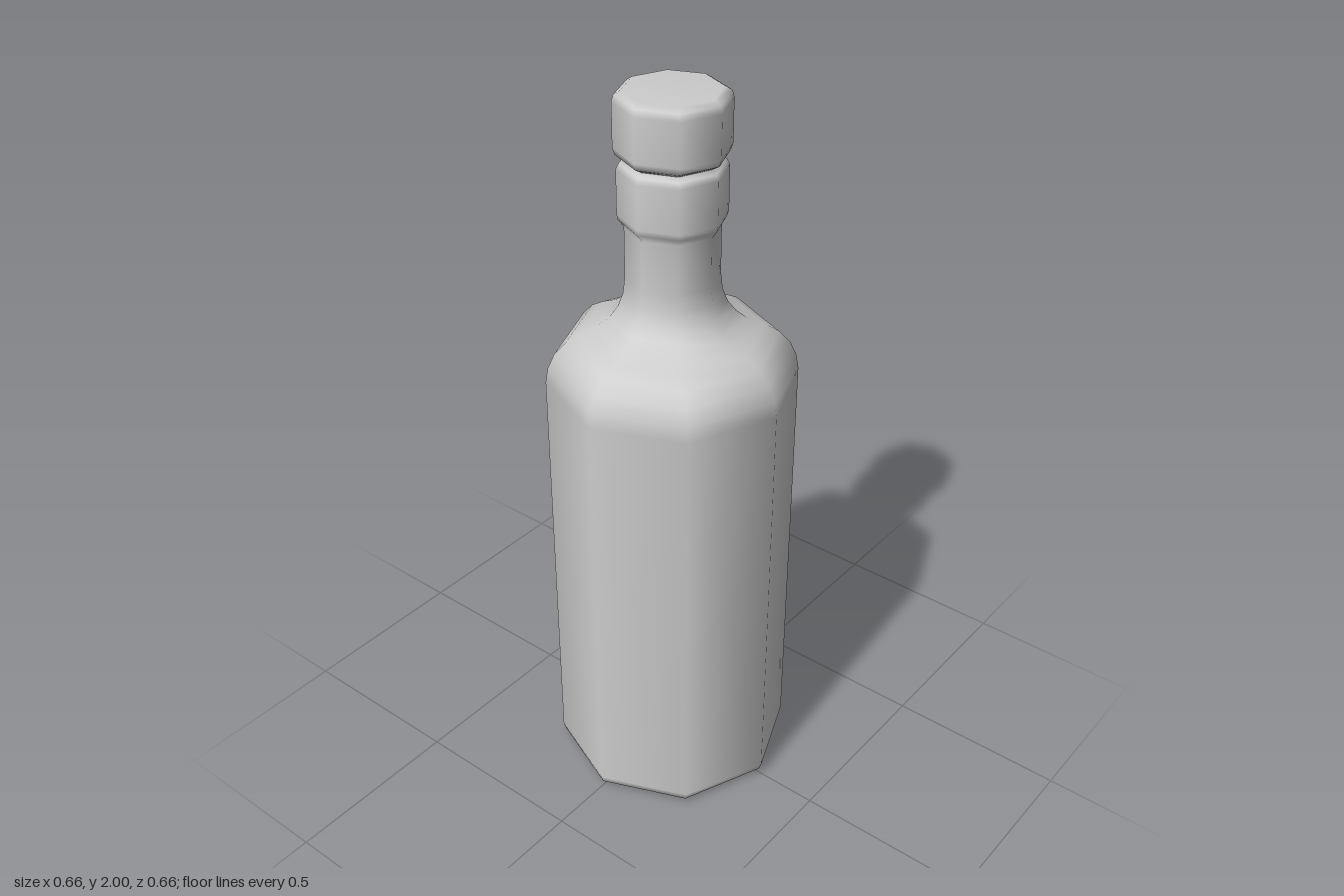
import * as THREE from 'three';

const SIDES = 8;
const material = new THREE.MeshStandardMaterial({ color: 0xcccccc });

// Revolves a [radius, height] profile, listed from bottom to top
function turned(name, profile) {
  const points = profile.map(([r, y]) => new THREE.Vector2(r, y));
  const mesh = new THREE.Mesh(new THREE.LatheGeometry(points, SIDES), material);
  mesh.name = name;
  return mesh;
}

export function createModel() {
  const group = new THREE.Group();
  group.name = 'bottle';

  // Body with rounded base, shoulder and neck
  group.add(turned('bottleBody', [
    [0, 0.005], [0.28, 0.003], [0.305, 0.006], [0.321, 0.018], [0.328, 0.04],
    [0.328, 1.23], [0.321, 1.27], [0.303, 1.31], [0.272, 1.343], [0.235, 1.365],
    [0.19, 1.386], [0.16, 1.41], [0.138, 1.44], [0.125, 1.475], [0.12, 1.52],
    [0.12, 1.655],
    // Raised collar on the neck
    [0.134, 1.675], [0.137, 1.69], [0.137, 1.805], [0.13, 1.82],
    [0.115, 1.827], [0.115, 1.85],
  ]));

  // Stopper with softened rims
  group.add(turned('stopper', [
    [0, 1.83], [0.118, 1.83], [0.138, 1.842], [0.144, 1.86],
    [0.144, 1.972], [0.139, 1.99], [0.122, 2], [0, 2],
  ]));

  return group;
}
